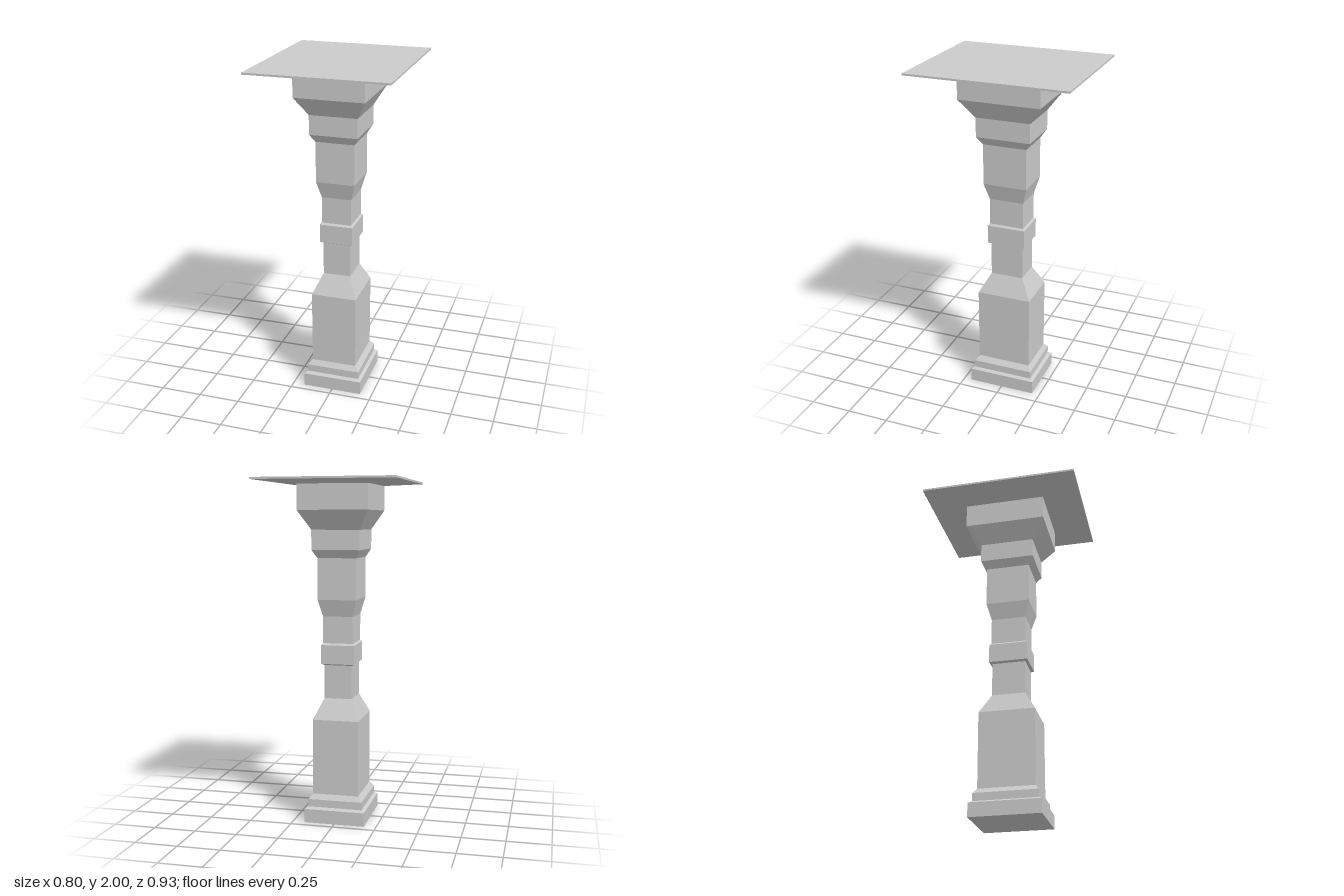
import * as THREE from 'three';

const material = new THREE.MeshStandardMaterial({ color: 0xcccccc, flatShading: true });
const CORNERS = [[1, 1], [1, -1], [-1, -1], [-1, 1]];

// Lofts rectangular sections [y, halfWidth, halfDepth] from bottom to top.
function loft(name, sections, { bottom = false, top = false } = {}) {
  const pos = [];
  const rings = sections.map(([y, w, d]) => CORNERS.map(([x, z]) => [x * w, y, z * d]));
  const quad = (a, b, c, d) => pos.push(...a, ...b, ...c, ...a, ...c, ...d);
  for (let i = 0; i + 1 < rings.length; i++) {
    for (let k = 0; k < 4; k++) {
      const n = (k + 1) % 4;
      quad(rings[i][k], rings[i][n], rings[i + 1][n], rings[i + 1][k]);
    }
  }
  if (bottom) quad(...[...rings[0]].reverse());
  if (top) quad(...rings[rings.length - 1]);
  const geometry = new THREE.BufferGeometry();
  geometry.setAttribute('position', new THREE.Float32BufferAttribute(pos, 3));
  geometry.computeVertexNormals();
  const mesh = new THREE.Mesh(geometry, material);
  mesh.name = name;
  return mesh;
}

export function createModel() {
  const group = new THREE.Group();
  group.name = 'pedestalColumn';

  // Sections shared by neighbouring parts
  const pedestalFoot = [0.167, 0.136, 0.163];
  const ringBottom = [0.93, 0.082, 0.098];
  const ringTop = [1.06, 0.088, 0.103];
  const capitalFoot = [1.555, 0.114, 0.13];
  const capitalTop = [1.972, 0.204, 0.241];

  group.add(
    // Stepped plinth
    loft('plinth', [
      [0, 0.179, 0.204], [0.081, 0.179, 0.204], [0.092, 0.161, 0.184],
      [0.137, 0.161, 0.184], pedestalFoot,
    ], { bottom: true }),
    // Wide block narrowing into the thin lower shaft
    loft('lowerShaft', [
      pedestalFoot, [0.613, 0.136, 0.163], [0.733, 0.082, 0.098], ringBottom,
    ]),
    // Chamfered band around the middle
    loft('middleBand', [
      ringBottom, [0.938, 0.098, 0.114], [1.049, 0.098, 0.114], ringTop,
    ]),
    // Shaft widening upwards
    loft('upperShaft', [
      ringTop, [1.217, 0.088, 0.103], [1.315, 0.114, 0.13], capitalFoot,
    ]),
    // Two-step flared capital
    loft('capital', [
      capitalFoot, [1.602, 0.141, 0.161], [1.716, 0.141, 0.161],
      [1.827, 0.204, 0.241], capitalTop,
    ]),
    // Thin top with a slightly sloping underside
    loft('topSlab', [
      capitalTop, [1.989, 0.401, 0.466], [2, 0.401, 0.466],
    ], { top: true }),
  );
  return group;
}
